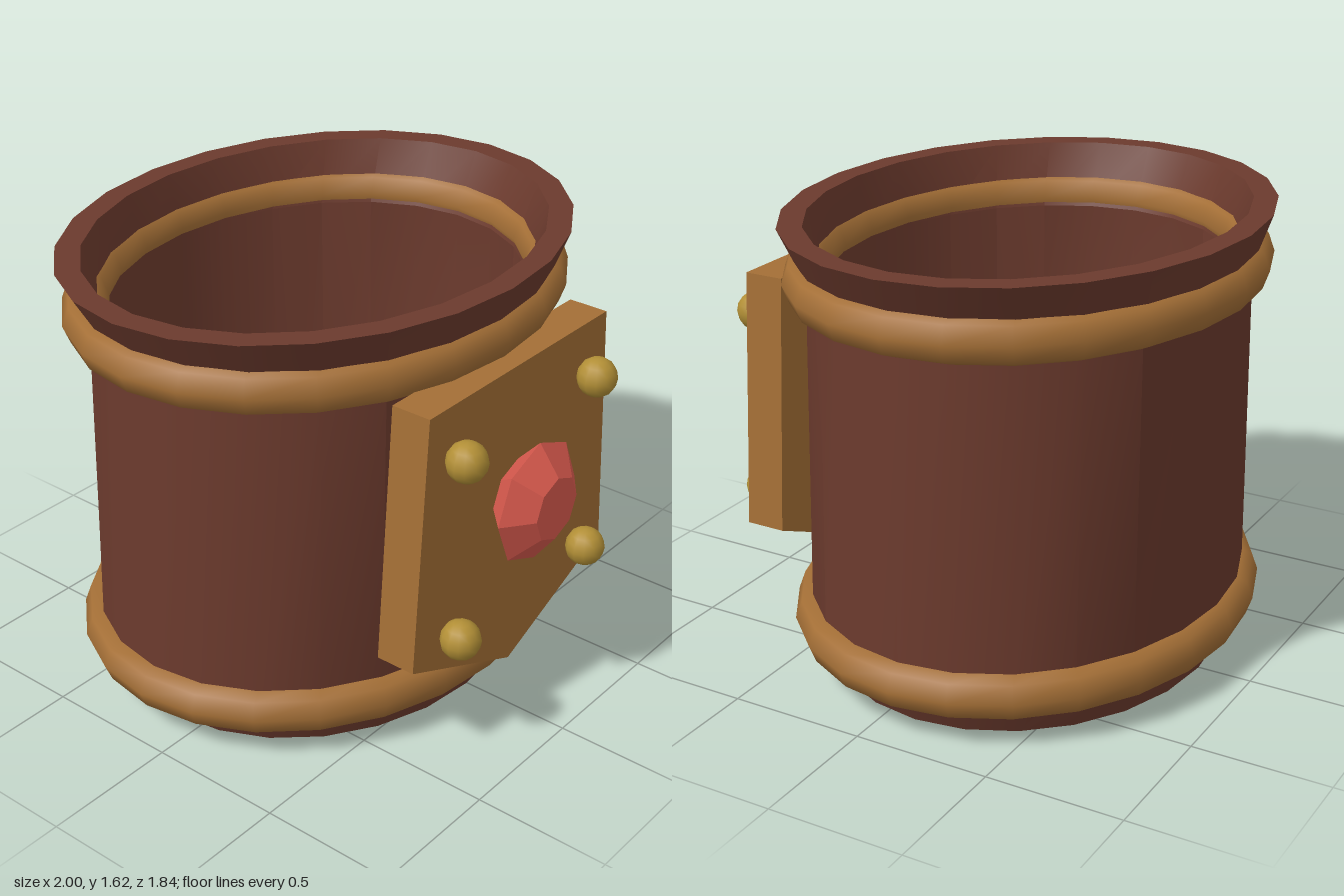
import * as THREE from 'three';
import { toCreasedNormals } from 'three/addons/utils/BufferGeometryUtils.js';

const SIDES = 24;
const CENTER_Z = -0.11;

// Oval tube from a closed loop of [radiusX, radiusZ, y] rings
function ovalLoft(rings) {
  const pos = [];
  const index = [];
  for (const [rx, rz, y] of rings) {
    for (let j = 0; j < SIDES; j++) {
      const t = (j / SIDES) * Math.PI * 2;
      pos.push(rx * Math.sin(t), y, rz * Math.cos(t));
    }
  }
  for (let i = 0; i < rings.length; i++) {
    const next = (i + 1) % rings.length;
    for (let j = 0; j < SIDES; j++) {
      const k = (j + 1) % SIDES;
      const a = i * SIDES + j, b = i * SIDES + k;
      const c = next * SIDES + k, d = next * SIDES + j;
      index.push(a, b, c, a, c, d);
    }
  }
  const geo = new THREE.BufferGeometry();
  geo.setAttribute('position', new THREE.Float32BufferAttribute(pos, 3));
  geo.setIndex(index);
  return toCreasedNormals(geo, 0.38);
}

export function createModel() {
  const group = new THREE.Group();
  const material = (name, color) => {
    const m = new THREE.MeshStandardMaterial({ color });
    m.name = name;
    return m;
  };
  const leather = material('brown leather', 0x6b3a2d);
  const bronze = material('bronze', 0xa46f36);
  const brass = material('brass', 0xb28f36);
  const ruby = material('red gem', 0xd95a4e);

  const add = (name, geo, mat, x, y, z) => {
    const mesh = new THREE.Mesh(geo, mat);
    mesh.name = name;
    mesh.position.set(x, y, z);
    group.add(mesh);
    return mesh;
  };

  // Hollow cuff: outer wall upward, then inner wall downward
  add('cuff', ovalLoft([
    [0.81, 0.69, 0], [0.91, 0.75, 0.22], [0.873, 0.742, 1.42], [1.0, 0.81, 1.625],
    [0.91, 0.725, 1.625], [0.805, 0.67, 1.4], [0.81, 0.662, 0.22], [0.73, 0.605, 0],
  ]), leather, 0, 0, CENTER_Z);

  // Rolled bands around the top and bottom
  const bandGeo = new THREE.TorusGeometry(0.892, 0.088, 8, SIDES);
  bandGeo.rotateX(Math.PI / 2);
  bandGeo.scale(1, 1, 0.825);
  add('lowerBand', bandGeo, bronze, 0, 0.187, CENTER_Z);
  add('upperBand', bandGeo, bronze, 0, 1.43, CENTER_Z);

  // Pointed front plate
  const outline = new THREE.Shape([
    [-0.5, 1.375], [-0.56, 0.44], [0, 0.195], [0.56, 0.44], [0.5, 1.375],
  ].map(([x, y]) => new THREE.Vector2(x, y)));
  const plateGeo = new THREE.ExtrudeGeometry(outline, { depth: 0.148, bevelEnabled: false });
  add('frontPlate', plateGeo, bronze, 0, 0, 0.605);

  // Four corner studs
  const studGeo = new THREE.SphereGeometry(0.072, 12, 8);
  for (const x of [-0.375, 0.375]) {
    for (const y of [0.505, 1.19]) add('stud', studGeo, brass, x, y, 0.81);
  }

  // Eight-sided faceted gem
  let gemGeo = new THREE.LatheGeometry([
    [0.12, 0.74], [0.225, 0.838], [0.118, 0.918], [0, 0.918],
  ].map(([r, z]) => new THREE.Vector2(r, z)), 8);
  gemGeo.rotateX(Math.PI / 2);
  gemGeo = gemGeo.toNonIndexed();
  gemGeo.computeVertexNormals();
  add('gem', gemGeo, ruby, 0, 0.88, 0);

  return group;
}
